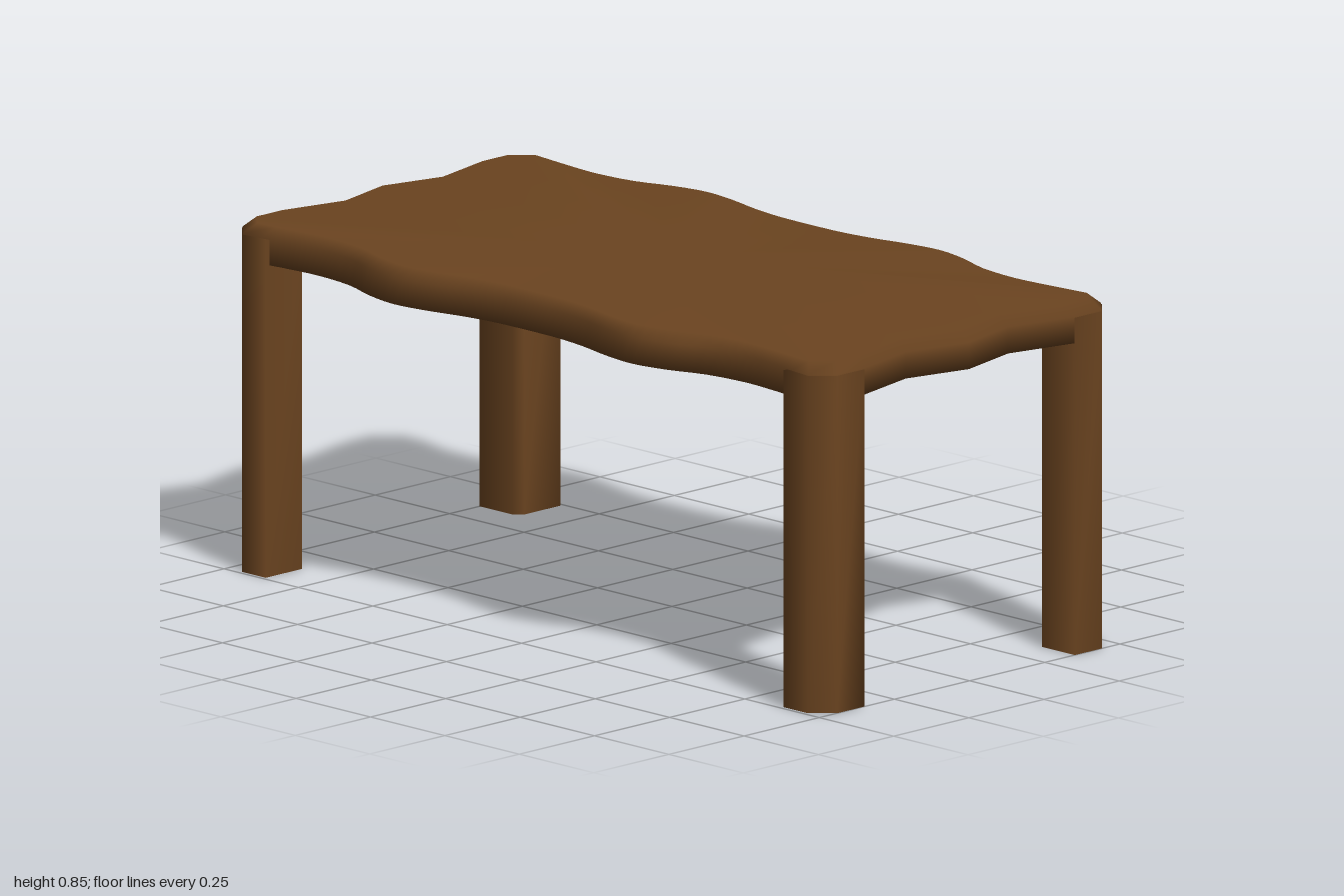
import * as THREE from 'three';

const wood = new THREE.MeshStandardMaterial({ color: 0x6b4420 });

// Closed smooth solid through stacked rings; each ring is a counterclockwise
// outline of [x, -z] points seen from above, given with its height.
function stackedSolid(name, rings) {
  const n = rings[0].outline.length;
  const pos = [];
  const index = [];
  rings.forEach(({ outline, y }) => outline.forEach(([x, w]) => pos.push(x, y, -w)));
  const centre = ({ outline, y }) => {
    const cx = outline.reduce((s, p) => s + p[0], 0) / n;
    const cw = outline.reduce((s, p) => s + p[1], 0) / n;
    pos.push(cx, y, -cw);
    return pos.length / 3 - 1;
  };
  const bottom = centre(rings[0]);
  const top = centre(rings[rings.length - 1]);
  const last = (rings.length - 1) * n;
  for (let i = 0; i < n; i++) {
    const j = (i + 1) % n;
    for (let r = 0; r < last; r += n) {
      index.push(r + i, r + j, r + n + j, r + i, r + n + j, r + n + i);
    }
    index.push(bottom, j, i, top, last + i, last + j);
  }
  const geo = new THREE.BufferGeometry();
  geo.setAttribute('position', new THREE.Float32BufferAttribute(pos, 3));
  geo.setIndex(index);
  geo.computeVertexNormals();
  const mesh = new THREE.Mesh(geo, wood);
  mesh.name = name;
  return mesh;
}

// Wavy tabletop outline: one quarter, mirrored to all four
function tabletopOutline() {
  const wave = new THREE.CatmullRomCurve3(
    [[0.48, 0], [0.482, 0.1], [0.495, 0.2], [0.518, 0.3], [0.53, 0.4], [0.512, 0.5],
      [0.478, 0.6], [0.465, 0.72], [0.47, 0.8], [0.48, 0.89]]
      .map(([x, w]) => new THREE.Vector3(x, w, 0)));
  const quarter = wave.getPoints(27).map((p) => [p.x, p.y]);
  quarter.push([0.487, 0.95], [0.44, 0.998], [0.35, 0.998], [0.17, 0.957], [0, 0.998]);
  const half = [...quarter, ...quarter.slice(0, -1).reverse().map(([x, w]) => [-x, w])];
  return [...half, ...half.slice(1, -1).map(([x, w]) => [-x, -w])];
}

// Leg section: wide bevel on the outer corner, small one on the inner corner
const legSection = [
  [0.49, 0.87], [0.49, 0.95], [0.44, 1], [0.35, 1], [0.35, 0.89], [0.37, 0.87],
];

export function createModel() {
  const table = new THREE.Group();
  table.name = 'table';

  // Tabletop with a bevelled upper rim
  const outline = tabletopOutline();
  const inset = (d) => outline.map(([x, w]) => [x * (1 - d / 0.5), w * (1 - d)]);
  table.add(stackedSolid('tabletop', [
    { outline, y: 0.76 },
    { outline, y: 0.825 },
    { outline: inset(0.025), y: 0.85 },
  ]));

  // Four legs, one in each corner
  for (const sx of [1, -1]) {
    for (const sw of [1, -1]) {
      const section = legSection.map(([x, w]) => [x * sx, w * sw]);
      if (sx * sw < 0) section.reverse();
      const name = (sw < 0 ? 'front' : 'back') + (sx > 0 ? 'Left' : 'Right') + 'Leg';
      table.add(stackedSolid(name, [
        { outline: section, y: 0 },
        { outline: section, y: 0.822 },
      ]));
    }
  }
  return table;
}
